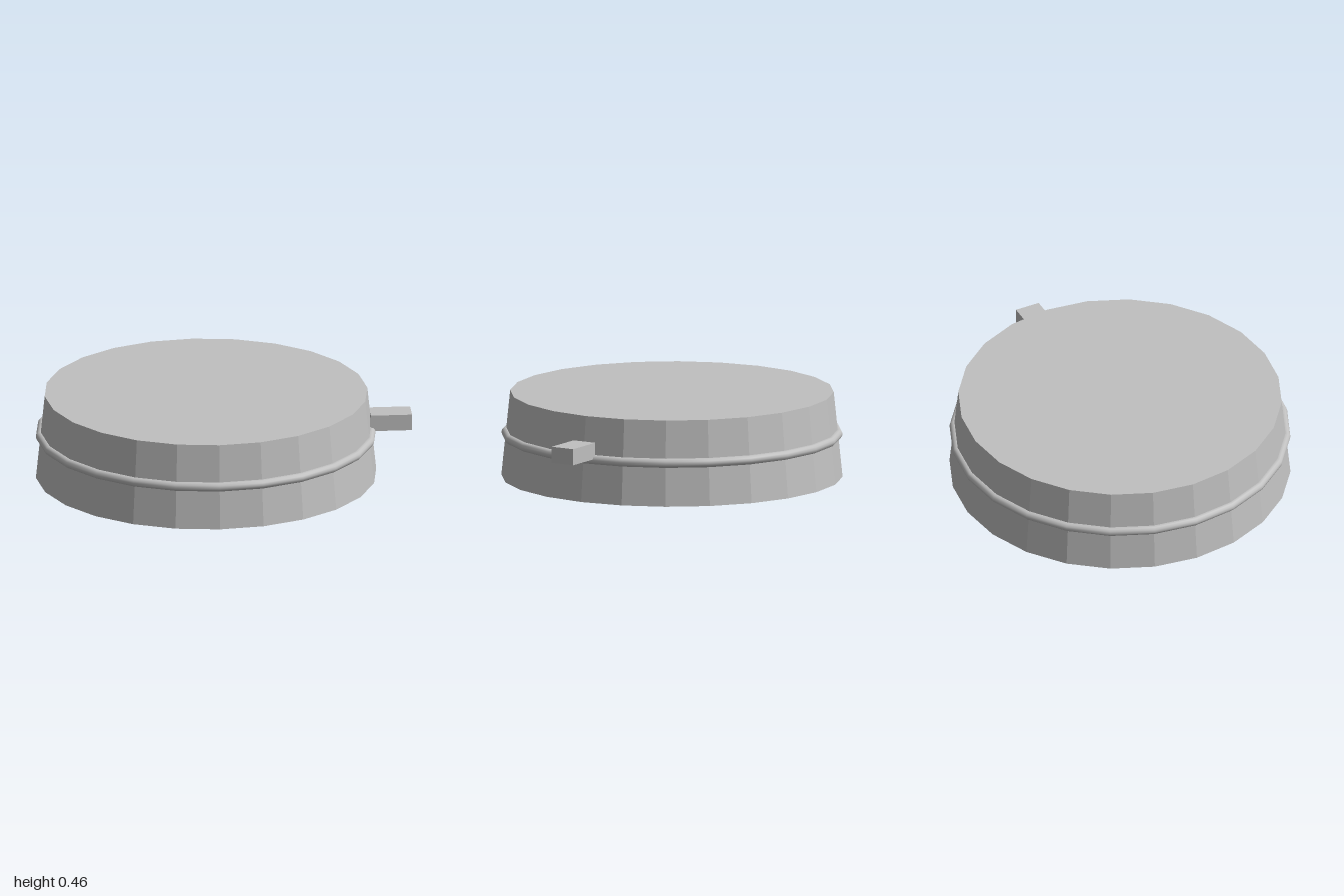
import * as THREE from 'three';

export function createModel() {
  const model = new THREE.Group();
  const grey = new THREE.MeshStandardMaterial({ color: 0xc0c0c0 });
  grey.name = 'light grey';
  const SIDES = 24;
  const CENTRE_X = -0.093;

  function add(name, geometry, x, y, z) {
    const mesh = new THREE.Mesh(geometry, grey);
    mesh.name = name;
    mesh.position.set(x, y, z);
    model.add(mesh);
    return mesh;
  }

  // Tapered, faceted drum
  const drum = new THREE.CylinderGeometry(0.86, 0.907, 0.457, SIDES).toNonIndexed();
  drum.computeVertexNormals();
  add('body', drum, CENTRE_X, 0.2285, 0);

  // Rounded band around the middle, its corners lined up with the facets
  const band = new THREE.TorusGeometry(0.882, 0.025, 12, SIDES);
  band.rotateX(Math.PI / 2);
  add('band', band, CENTRE_X, 0.23, 0);

  // Square tab on the side
  add('tab', new THREE.BoxGeometry(0.22, 0.087, 0.135), 0.89, 0.278, 0);

  return model;
}
